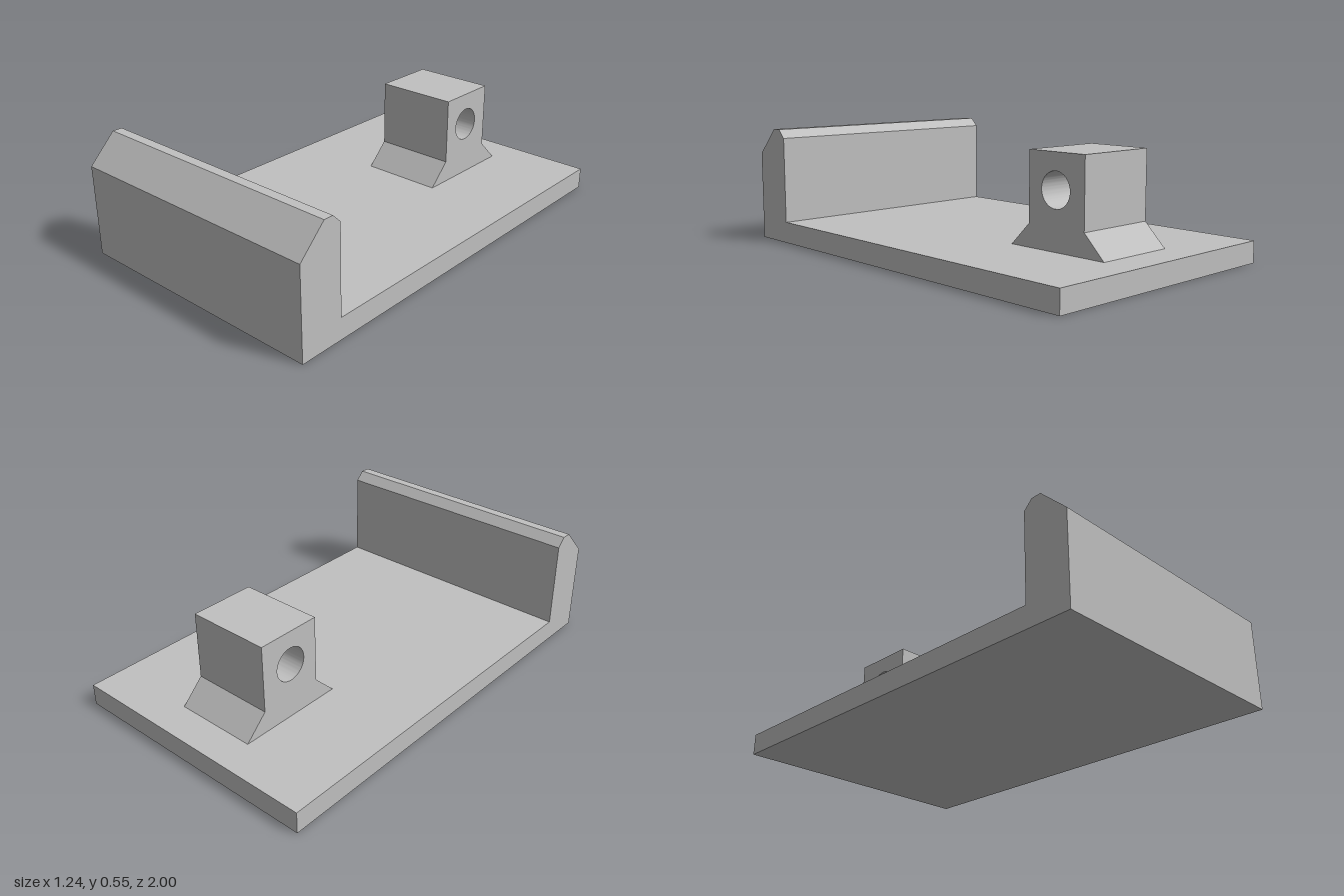
import * as THREE from 'three';
import { toCreasedNormals } from 'three/addons/utils/BufferGeometryUtils.js';

// Extrude a side profile of [z, y] points across x, centred on x = 0
function profilePart(name, points, width, material, hole) {
  const shape = new THREE.Shape(points.map(([z, y]) => new THREE.Vector2(z, y)));
  if (hole) {
    shape.holes.push(new THREE.Path().absarc(hole.z, hole.y, hole.r, 0, Math.PI * 2, true));
  }
  const geometry = new THREE.ExtrudeGeometry(shape, { depth: width, bevelEnabled: false, curveSegments: 40 });
  geometry.translate(0, 0, -width / 2);
  geometry.rotateY(-Math.PI / 2);
  const mesh = new THREE.Mesh(toCreasedNormals(geometry, 0.5), material);
  mesh.name = name;
  return mesh;
}

export function createModel() {
  const group = new THREE.Group();
  group.name = 'bracket';
  const grey = new THREE.MeshStandardMaterial({ color: 0xc0c0c0 });
  grey.name = 'grey';

  // Base plate with the chamfered upright lip along the front edge
  group.add(profilePart('basePlateWithLip', [
    [-1, 0], [1, 0], [1, 0.42], [0.875, 0.545], [0.83, 0.545],
    [0.79, 0.505], [0.79, 0.1], [-1, 0.1],
  ], 1.24, grey));

  // Pierced lug with sloping feet
  group.add(profilePart('lug', [
    [-0.84, 0.1], [-0.328, 0.1], [-0.431, 0.203], [-0.431, 0.513],
    [-0.736, 0.513], [-0.736, 0.203],
  ], 0.39, grey, { z: -0.58, y: 0.357, r: 0.078 }));

  return group;
}
